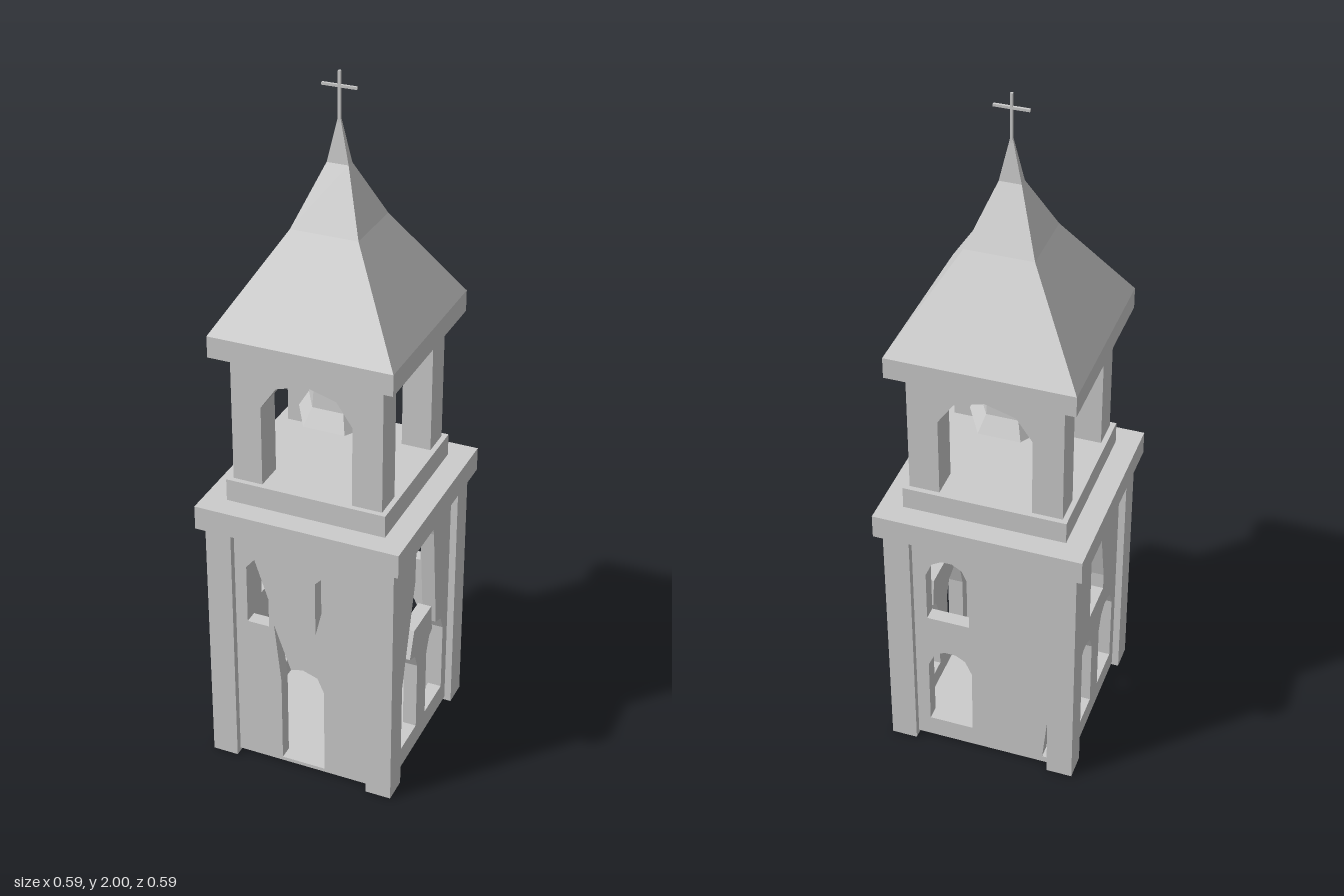
import * as THREE from 'three';

const grey = new THREE.MeshStandardMaterial({ color: 0xcccccc, flatShading: true, side: THREE.DoubleSide });

export function createModel() {
  const tower = new THREE.Group();
  tower.name = 'bellTower';

  const add = (name, geometry, x = 0, y = 0, z = 0) => {
    const mesh = new THREE.Mesh(geometry, grey);
    mesh.name = name;
    mesh.position.set(x, y, z);
    tower.add(mesh);
    return mesh;
  };
  // Box given by its bottom and top heights
  const block = (name, w, y0, y1, d, x = 0, z = 0) =>
    add(name, new THREE.BoxGeometry(w, y1 - y0, d), x, (y0 + y1) / 2, z);
  const points = (list) => list.map(([x, y]) => new THREE.Vector2(x, y));
  // Faceted arch outline around a centre
  const arch = (cx, half, y0, spring, top) => [
    [cx - half, y0], [cx + half, y0], [cx + half, spring],
    [cx + half * 0.7, spring + (top - spring) * 0.72], [cx + half * 0.25, top],
    [cx - half * 0.25, top], [cx - half * 0.7, spring + (top - spring) * 0.72],
    [cx - half, spring],
  ];
  // Recessed wall with openings, turned to face one side
  const wall = (name, turn, openings) => {
    const shape = new THREE.Shape(points([[-0.23, 0.01], [0.23, 0.01], [0.23, 0.78], [-0.23, 0.78]]));
    shape.holes = openings.map((o) => new THREE.Path(points(o)));
    const geometry = new THREE.ExtrudeGeometry(shape, { depth: 0.04, bevelEnabled: false });
    geometry.translate(0, 0, 0.215);
    add(name, geometry).rotation.y = turn;
  };

  // Lower storey: corner posts, floor and four walls
  for (const x of [-1, 1]) for (const z of [-1, 1])
    block('cornerPost', 0.075, 0, 0.77, 0.075, x * 0.2375, z * 0.2375);
  block('floor', 0.5, 0.008, 0.02, 0.5);

  wall('frontWall', 0, [
    // doorway with the broken edge above it
    [[-0.065, 0.021], [0.065, 0.021], [0.065, 0.29], [0.045, 0.335], [0, 0.35],
      [-0.035, 0.34], [-0.085, 0.48], [-0.065, 0.29]],
    [[-0.165, 0.47], [-0.1, 0.47], [-0.1, 0.56], [-0.14, 0.68], [-0.165, 0.65]],
    [[0.04, 0.48], [0.068, 0.6], [0.068, 0.68], [0.04, 0.65]],
  ]);
  wall('backWall', Math.PI, [
    arch(-0.097, 0.065, 0.075, 0.29, 0.35),
    arch(-0.1, 0.062, 0.47, 0.63, 0.69),
    [[0.18, 0.03], [0.196, 0.03], [0.196, 0.2]],
  ]);
  // Two low arches joined to the tall window by cracks
  wall('leftWall', Math.PI / 2, [[
    [-0.165, 0.075], [-0.035, 0.075], [-0.035, 0.29], [-0.055, 0.335], [-0.093, 0.35], [-0.065, 0.43],
    [0.065, 0.43], [0.075, 0.345], [0.055, 0.335], [0.035, 0.29], [0.035, 0.075], [0.165, 0.075],
    [0.165, 0.29], [0.145, 0.335], [0.105, 0.35], [0.07, 0.67], [0.055, 0.725], [0.02, 0.76],
    [-0.02, 0.76], [-0.055, 0.725], [-0.065, 0.67], [-0.065, 0.6], [-0.165, 0.23],
  ]]);
  wall('rightWall', -Math.PI / 2, [
    arch(-0.1, 0.065, 0.075, 0.29, 0.35),
    arch(0.1, 0.065, 0.075, 0.29, 0.35),
    [[-0.065, 0.43], [0.065, 0.43], [0.065, 0.48], [0.025, 0.67], [-0.065, 0.67]],
  ]);

  // Cornice and belfry base
  block('cornice', 0.59, 0.765, 0.835, 0.59);
  block('belfryBase', 0.46, 0.835, 0.9, 0.46);

  // Belfry: an arched frame at the front and back, open sides
  const frame = new THREE.Shape(points([
    [-0.215, 0.9], [-0.13, 0.9], [-0.13, 1.135], [-0.085, 1.2], [0, 1.225], [0.085, 1.2],
    [0.13, 1.135], [0.13, 0.9], [0.215, 0.9], [0.215, 1.28], [-0.215, 1.28],
  ]));
  for (const z of [0.13, -0.215])
    add('belfryArch', new THREE.ExtrudeGeometry(frame, { depth: 0.085, bevelEnabled: false }), 0, 0, z);

  // Six-sided bell on its beam
  const bell = points([[0.12, 1.035], [0.09, 1.085], [0.08, 1.19], [0.02, 1.255], [0, 1.262]]);
  add('bell', new THREE.LatheGeometry(bell, 6, Math.PI / 2));
  const beam = add('bellBeam', new THREE.CylinderGeometry(0.008, 0.008, 0.27, 6), 0, 1.245, 0);
  beam.rotation.x = Math.PI / 2;

  // Flared roof, from rectangular cross-sections [y, half x, half z]
  const rings = [[1.277, 0, 0], [1.277, 0.258, 0.258], [1.338, 0.258, 0.258],
    [1.6, 0.094, 0.097], [1.76, 0.03, 0.012], [1.885, 0.002, 0.002]];
  const corners = [[1, 1], [1, -1], [-1, -1], [-1, 1]];
  const positions = [];
  for (let r = 0; r < rings.length - 1; r++) for (let i = 0; i < 4; i++) {
    const at = ([y, hx, hz], [sx, sz]) => [hx * sx, y, hz * sz];
    const c = corners[i], d = corners[(i + 1) % 4];
    const a0 = at(rings[r], c), a1 = at(rings[r], d), b0 = at(rings[r + 1], c), b1 = at(rings[r + 1], d);
    positions.push(...a0, ...a1, ...b1, ...a0, ...b1, ...b0);
  }
  const roof = new THREE.BufferGeometry();
  roof.setAttribute('position', new THREE.Float32BufferAttribute(positions, 3));
  roof.computeVertexNormals();
  add('roof', roof);

  // Finial cross
  block('crossUpright', 0.007, 1.85, 2, 0.007);
  block('crossArm', 0.095, 1.957, 1.964, 0.007);

  return tower;
}
